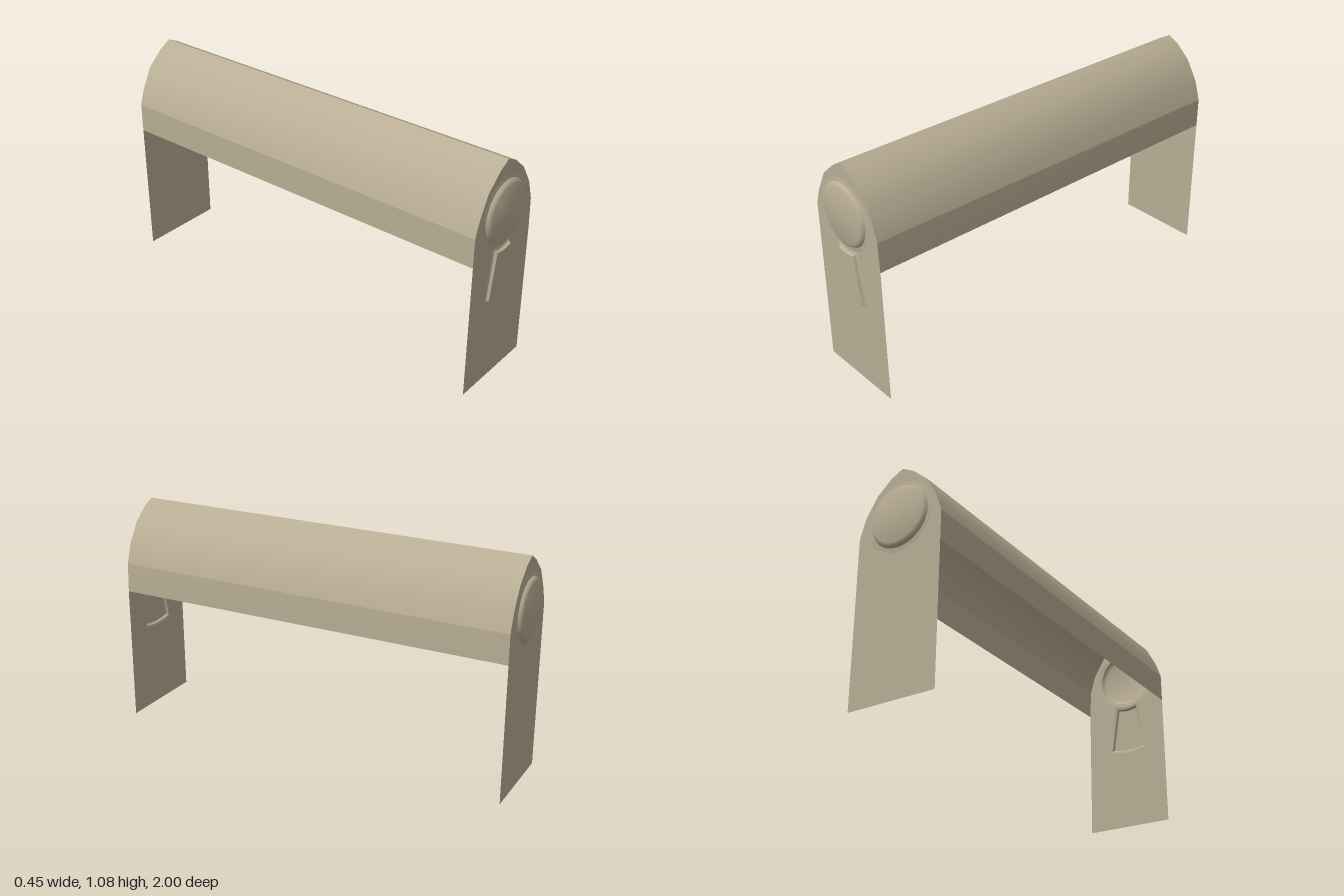
import * as THREE from 'three';
import { toCreasedNormals } from 'three/addons/utils/BufferGeometryUtils.js';

const END = 0.98;             // z of the end panels
const CX = -0.01, CY = 0.838; // centre of the round boss

// Joins rows of equally many [x, y, z] points into a surface
function loft(rows) {
  const n = rows[0].length, index = [];
  for (let r = 0; r < rows.length - 1; r++) {
    for (let i = 0; i < n - 1; i++) {
      const a = r * n + i, b = a + n;
      index.push(a, a + 1, b, a + 1, b + 1, b);
    }
  }
  const geo = new THREE.BufferGeometry();
  geo.setAttribute('position', new THREE.Float32BufferAttribute(rows.flat(2), 3));
  geo.setIndex(index);
  geo.computeVertexNormals();
  return geo;
}

// Fan outline, counter-clockwise: arcs about the boss centre, given radius and half width
function fanOutline(topR, topW, lowR, lowW) {
  const pts = [], steps = 10;
  const arc = (r, w, dir) => {
    const half = Math.asin(w / r);
    for (let i = 0; i <= steps; i++) {
      const a = dir * half * (2 * i / steps - 1);
      pts.push(new THREE.Vector2(CX + r * Math.sin(a), CY - r * Math.cos(a)));
    }
  };
  arc(lowR, lowW, 1);
  arc(topR, topW, -1);
  return pts;
}

export function createModel() {
  const group = new THREE.Group();
  const material = new THREE.MeshStandardMaterial({ color: 0xb8ad94, side: THREE.DoubleSide });
  const add = (name, geo, parent = group) => {
    const mesh = new THREE.Mesh(geo, material);
    mesh.name = name;
    parent.add(mesh);
    return mesh;
  };

  // Roof profile, left to right; creases at the eaves and the ridge
  const leftRoof = [[-0.225, 0.8], [-0.2, 0.875], [-0.148, 0.976], [-0.07, 1.046], [-0.01, 1.08]];
  const rightRoof = [[-0.01, 1.08], [0.05, 1.05], [0.12, 0.988], [0.178, 0.895], [0.208, 0.8]];
  const strips = {
    leftSkirt: [[-0.225, 0.66], [-0.225, 0.8]],
    leftRoof,
    rightRoof,
    rightSkirt: [[0.208, 0.8], [0.208, 0.66]],
  };
  const canopy = new THREE.Group();
  canopy.name = 'canopy';
  group.add(canopy);
  for (const [name, pts] of Object.entries(strips)) {
    // the right skirt flares slightly toward the front
    const row = z => pts.map(([x, y]) => [x + (z > 0 && x > 0 && y < 0.7 ? 0.007 : 0), y, z]);
    add(name, loft([row(-END), row(END)].reverse()), canopy);
  }

  // End panels, open where the pressed details stand out
  const fanBase = fanOutline(0.17, 0.065, 0.43, 0.105);
  const panel = front => {
    const rightEdge = front ? [[0.215, 0.66], [0.222, 0]] : [[0.208, 0]];
    const outline = [[-0.225, 0], ...leftRoof, ...rightRoof.slice(1), ...rightEdge];
    const shape = new THREE.Shape(outline.map(p => new THREE.Vector2(...p)));
    shape.holes.push(new THREE.Path().absarc(CX, CY, 0.167, 0, Math.PI * 2));
    if (front) shape.holes.push(new THREE.Path(fanBase));
    return new THREE.ShapeGeometry(shape, 32);
  };

  // Round pressed boss, turned about its own axis
  const bossProfile = [[0.167, 0], [0.147, 0.003], [0.143, 0.009], [0.137, 0.016], [0.128, 0.02], [0, 0.02]]
    .map(p => new THREE.Vector2(...p));
  const bossGeo = toCreasedNormals(new THREE.LatheGeometry(bossProfile, 64), 0.6);

  for (const s of [1, -1]) {
    const side = s > 0 ? 'front' : 'back';
    const end = add(side + 'Panel', panel(s > 0));
    end.position.z = s * END;
    end.scale.z = s;
    const boss = add(side + 'Boss', bossGeo);
    boss.position.set(CX, CY, s * END);
    boss.rotation.x = s * Math.PI / 2;
  }

  // Pressed fan below the front boss: flange, steep wall and flat face
  const face = fanOutline(0.186, 0.05, 0.41, 0.087);
  const rings = [
    [fanBase, 0],
    [fanOutline(0.18, 0.056, 0.418, 0.095), 0.003],
    [face, 0.015],
  ].map(([pts, z]) => [...pts, pts[0]].map(p => [p.x, p.y, END + z]));
  const fan = new THREE.Group();
  fan.name = 'frontFan';
  group.add(fan);
  add('fanRim', toCreasedNormals(loft(rings), 0.5), fan);
  add('fanFace', new THREE.ShapeGeometry(new THREE.Shape(face)), fan).position.z = END + 0.015;

  return group;
}
